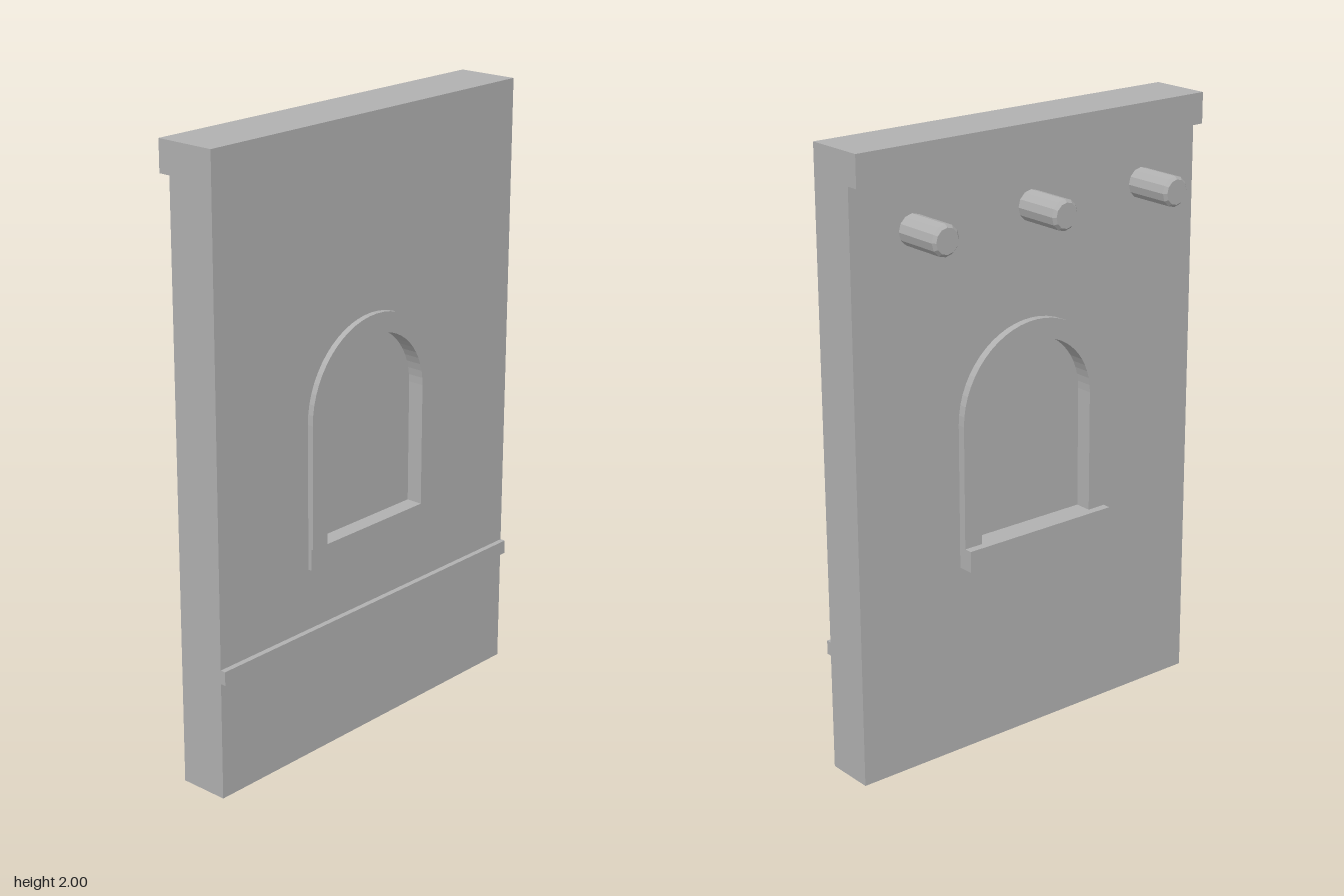
import * as THREE from 'three';

const W = 0.667, BACK = -0.01, FRONT = 0.155;
const SPRING = 1.1, SILL = 0.7;

export function createModel() {
  const group = new THREE.Group();
  const stone = new THREE.MeshStandardMaterial({ color: 0xb0b0b0 });
  stone.name = 'greyStone';

  const add = (name, geo) => {
    const mesh = new THREE.Mesh(geo, stone);
    mesh.name = name;
    group.add(mesh);
    return mesh;
  };
  // Box given by its limits on each axis
  const box = (name, x0, x1, y0, y1, z0, z1) =>
    add(name, new THREE.BoxGeometry(x1 - x0, y1 - y0, z1 - z0))
      .position.set((x0 + x1) / 2, (y0 + y1) / 2, (z0 + z1) / 2);
  // Round-headed outline
  const arch = (path, r) => {
    path.moveTo(-r, SILL);
    path.lineTo(r, SILL);
    path.lineTo(r, SPRING);
    path.absarc(0, SPRING, r, 0, Math.PI, false);
    path.lineTo(-r, SILL);
    return path;
  };
  const extrude = (name, shape, z0, z1) => {
    const geo = new THREE.ExtrudeGeometry(shape, { depth: z1 - z0, bevelEnabled: false, curveSegments: 14 });
    add(name, geo.translate(0, 0, z0));
  };

  // Wall slab with an arched opening
  const wall = new THREE.Shape();
  wall.moveTo(-W, 0);
  wall.lineTo(W, 0);
  wall.lineTo(W, 2);
  wall.lineTo(-W, 2);
  wall.closePath();
  wall.holes.push(arch(new THREE.Path(), 0.22));
  extrude('wall', wall, BACK, FRONT);

  // Recessed pane filling the opening
  extrude('windowPane', arch(new THREE.Shape(), 0.22), 0.02, 0.12);

  // Raised window surrounds and sills on both faces
  const frame = arch(new THREE.Shape(), 0.285);
  frame.holes.push(arch(new THREE.Path(), 0.22));
  extrude('frontWindowFrame', frame, FRONT, 0.175);
  extrude('backWindowFrame', frame, -0.036, BACK);
  box('frontSill', -0.285, 0.285, 0.63, SILL, FRONT, 0.168);
  box('backSill', -0.285, 0.285, 0.63, SILL, -0.063, BACK);

  // Horizontal mouldings
  box('stringCourse', -W, W, 0.385, 0.43, FRONT, 0.173);
  box('backCornice', -W, W, 1.9, 2, -0.05, BACK);

  // Three projecting beam ends with chamfered tips
  const profile = [[0.049, 0], [0.049, 0.155], [0.04, 0.165], [0, 0.165]]
    .map(([r, h]) => new THREE.Vector2(r, h));
  for (const x of [-0.445, 0, 0.445]) {
    const geo = new THREE.LatheGeometry(profile, 12).toNonIndexed();
    geo.computeVertexNormals();
    const beam = add('beamEnd', geo);
    beam.rotation.x = -Math.PI / 2;
    beam.position.set(x, 1.738, BACK);
  }
  return group;
}
